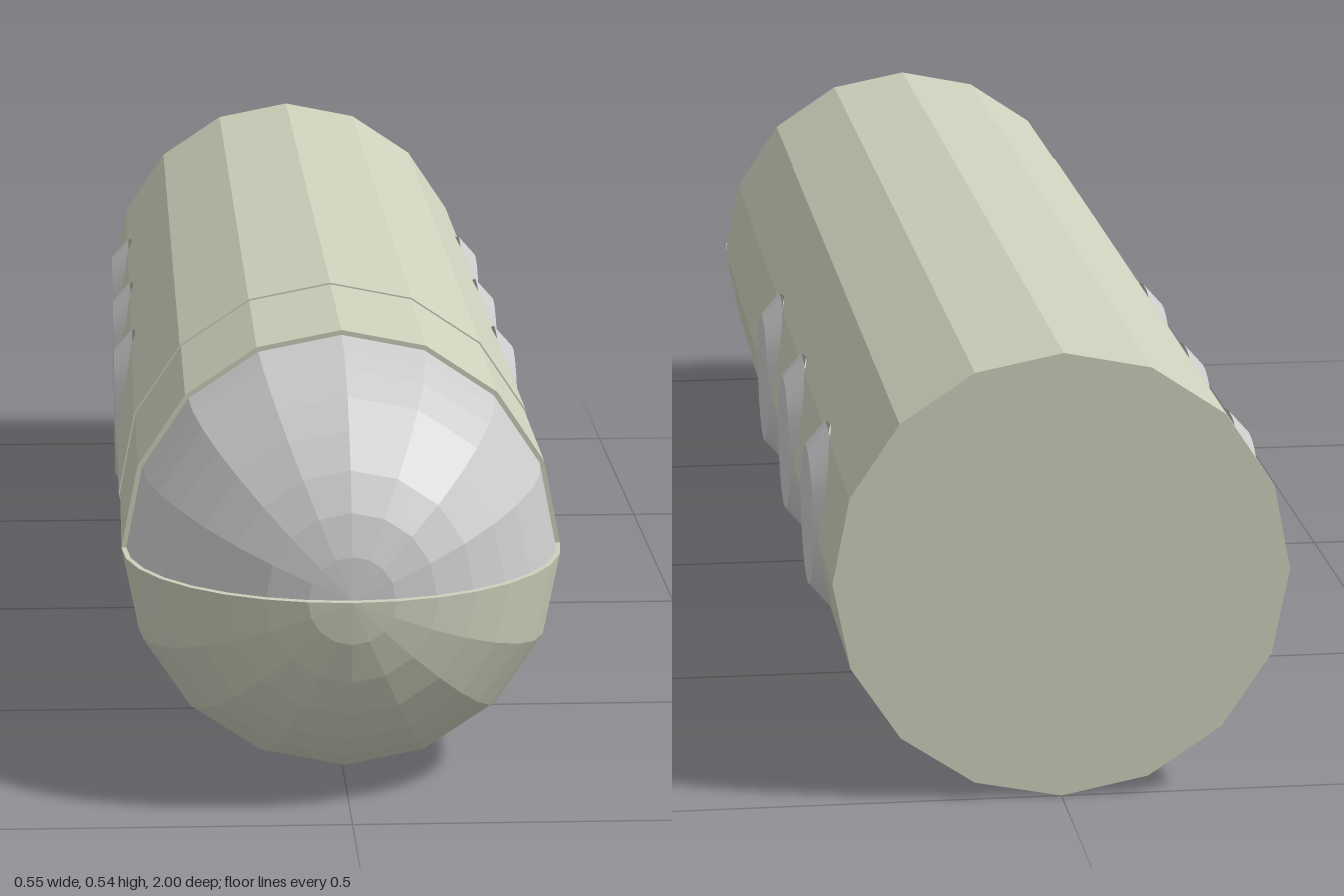
import * as THREE from 'three';

const R = 0.272, CY = 0.275, STEP = Math.PI / 8;
const SEAM = 0.44, NOSE = 0.725, TAIL = -1;
const PORTS = [-0.70, -0.365, -0.03], HOLE = 0.113, PORT_BASE = 0.25;

const hullMat = new THREE.MeshStandardMaterial({ color: 0xcdcfbb, flatShading: true, side: THREE.DoubleSide });
const glassMat = new THREE.MeshStandardMaterial({ color: 0xcccccc, flatShading: true, side: THREE.DoubleSide });
const frameMat = new THREE.MeshStandardMaterial({ color: 0xcccccc, side: THREE.DoubleSide });

function add(parent, name, geometry, material) {
  const mesh = new THREE.Mesh(geometry, material);
  mesh.name = name;
  parent.add(mesh);
  return mesh;
}

function fromTriangles(positions) {
  const g = new THREE.BufferGeometry();
  g.setAttribute('position', new THREE.Float32BufferAttribute(positions, 3));
  g.computeVertexNormals();
  return g;
}

function pushQuad(out, a, b, c, d, flip) {
  const tris = flip ? [a, c, b, a, d, c] : [a, b, c, a, c, d];
  for (const p of tris) out.push(...p);
}

// Half-width of the sixteen-sided hull at height y above its axis
function hullX(y) {
  const k = Math.min(3, Math.floor(Math.asin(Math.min(1, Math.abs(y) / R)) / STEP));
  const y0 = R * Math.sin(k * STEP), y1 = R * Math.sin((k + 1) * STEP);
  const t = (Math.abs(y) - y0) / (y1 - y0);
  return THREE.MathUtils.lerp(R * Math.cos(k * STEP), R * Math.cos((k + 1) * STEP), t);
}

// Faceted hull with round openings, made of strips mirrored into four quarters
function hullGeometry() {
  const zs = [[TAIL, 0]];
  for (const z of PORTS) {
    for (let i = 0; i <= 24; i++) {
      const a = Math.PI * i / 24;
      zs.push([z - HOLE * Math.cos(a), HOLE * Math.sin(a)]);
    }
  }
  zs.push([SEAM, 0]);
  const out = [];
  for (const sx of [1, -1]) for (const sy of [1, -1]) {
    for (let k = 0; k < 4; k++) {
      const y0 = R * Math.sin(k * STEP), y1 = R * Math.sin((k + 1) * STEP);
      const x1 = R * Math.cos((k + 1) * STEP);
      const low = ([z, h]) => {
        const y = THREE.MathUtils.clamp(h, y0, y1);
        const x = THREE.MathUtils.lerp(R * Math.cos(k * STEP), x1, (y - y0) / (y1 - y0));
        return [sx * x, sy * y, z];
      };
      const high = ([z]) => [sx * x1, sy * y1, z];
      for (let i = 0; i < zs.length - 1; i++) {
        const a = zs[i], b = zs[i + 1];
        if (Math.min(a[1], b[1]) >= y1) continue;
        pushQuad(out, low(a), high(a), high(b), low(b), sx * sy < 0);
      }
    }
  }
  return fromTriangles(out);
}

// Wall of an opening, from the window base out to the hull surface
function openingWall() {
  const out = [], n = 48;
  const point = (i, outer) => {
    const a = 2 * Math.PI * i / n, y = HOLE * Math.sin(a);
    return [outer ? Math.max(PORT_BASE - 0.01, hullX(y)) : PORT_BASE - 0.01, y, HOLE * Math.cos(a)];
  };
  for (let i = 0; i < n; i++) {
    pushQuad(out, point(i, false), point(i + 1, false), point(i + 1, true), point(i, true));
  }
  return fromTriangles(out);
}

// Half dome of eight sides and eight rings, its pole along +z
function halfDome(radius, depth, phiStart) {
  const profile = [];
  for (let i = 0; i <= 8; i++) {
    const a = Math.PI / 16 * i;
    profile.push(new THREE.Vector2(i === 8 ? 0 : radius * Math.cos(a), depth * Math.sin(a)));
  }
  return new THREE.LatheGeometry(profile, 8, phiStart, Math.PI).rotateX(Math.PI / 2).translate(0, 0, NOSE);
}

function createWindow() {
  const g = new THREE.Group();
  const frame = new THREE.CylinderGeometry(0.086, HOLE + 0.001, 0.025, 32, 1, true);
  add(g, 'windowFrame', frame.rotateZ(-Math.PI / 2).translate(PORT_BASE + 0.0125, 0, 0), frameMat);
  const pane = new THREE.CircleGeometry(0.086, 32).rotateY(Math.PI / 2).translate(PORT_BASE + 0.025, 0, 0);
  add(g, 'windowPane', pane, frameMat);
  add(g, 'windowOpening', openingWall(), hullMat);
  return g;
}

export function createModel() {
  const model = new THREE.Group();
  model.name = 'capsule';
  const body = new THREE.Group();
  body.name = 'body';
  body.position.y = CY;
  model.add(body);

  // Main hull and flat tail
  add(body, 'hull', hullGeometry(), hullMat);
  add(body, 'tailCap', new THREE.CircleGeometry(R, 16).rotateY(Math.PI).translate(0, 0, TAIL), hullMat);

  // Slightly narrower front section with its seam
  const front = new THREE.CylinderGeometry(0.27, 0.27, NOSE - SEAM, 16, 1, true);
  add(body, 'frontSection', front.rotateX(Math.PI / 2).translate(0, 0, (NOSE + SEAM) / 2), hullMat);
  add(body, 'seam', new THREE.RingGeometry(0.26, R, 16).translate(0, 0, SEAM), hullMat);

  // Nose: solid lower shell, glazed upper canopy, and the edges around it
  add(body, 'noseShell', halfDome(0.27, 0.275, -Math.PI / 2), hullMat);
  add(body, 'canopy', halfDome(0.264, 0.264, Math.PI / 2), glassMat);
  add(body, 'canopyRim', new THREE.RingGeometry(0.255, 0.27, 8, 1, 0, Math.PI).translate(0, 0, NOSE), hullMat);
  const ledge = new THREE.RingGeometry(0.25, 0.27, 16, 1, Math.PI, Math.PI);
  add(body, 'canopyLedge', ledge.rotateX(-Math.PI / 2).scale(1, 1, 0.275 / 0.27).translate(0, 0, NOSE), hullMat);

  // Three round windows on each side
  for (const side of [0, Math.PI]) {
    PORTS.forEach((z, i) => {
      const port = createWindow();
      port.name = (side ? 'rightWindow' : 'leftWindow') + (i + 1);
      port.position.z = z;
      port.rotation.y = side;
      body.add(port);
    });
  }
  return model;
}
